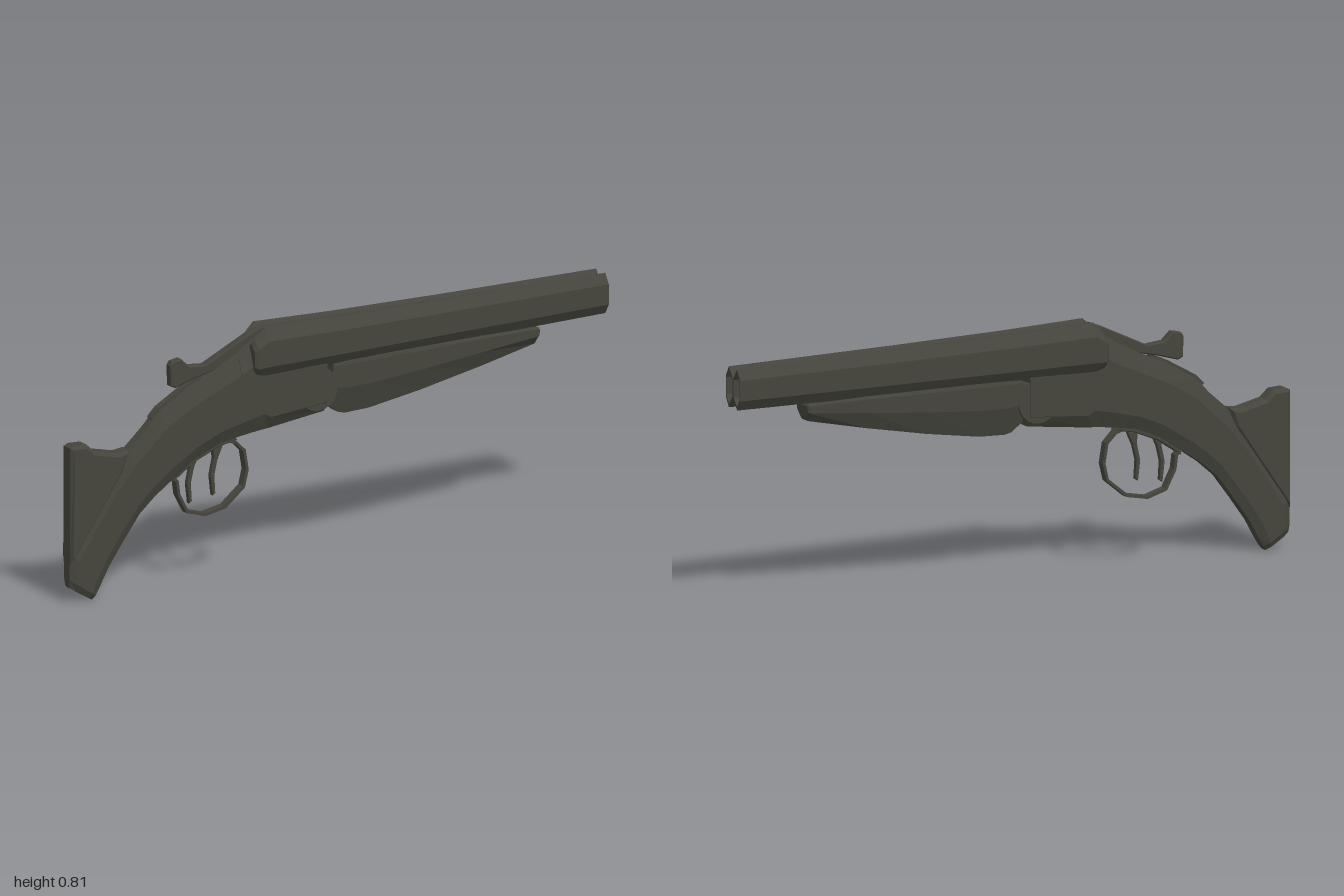
import * as THREE from 'three';

const metal = new THREE.MeshStandardMaterial({ color: 0x45453d });
metal.name = 'dark olive metal';

function add(group, name, geo) {
  const mesh = new THREE.Mesh(geo, metal);
  mesh.name = name;
  group.add(mesh);
  return mesh;
}

// Faceted skin over a row of equal rings, capped at both ends and turned outwards.
function loft(rings) {
  const n = rings[0].length;
  const tris = [];
  for (let i = 0; i + 1 < rings.length; i++) {
    const a = rings[i], b = rings[i + 1];
    for (let j = 0; j < n; j++) {
      const k = (j + 1) % n;
      tris.push([a[j], a[k], b[k]], [a[j], b[k], b[j]]);
    }
  }
  const first = rings[0], last = rings[rings.length - 1];
  for (let j = 1; j + 1 < n; j++) {
    tris.push([first[0], first[j + 1], first[j]], [last[0], last[j], last[j + 1]]);
  }
  let volume = 0;
  const v = [new THREE.Vector3(), new THREE.Vector3(), new THREE.Vector3()];
  for (const t of tris) {
    t.forEach((p, i) => v[i].set(...p));
    volume += v[0].dot(v[1].cross(v[2]));
  }
  if (volume < 0) tris.forEach((t) => t.reverse());
  const geo = new THREE.BufferGeometry();
  geo.setAttribute('position', new THREE.Float32BufferAttribute(tris.flat(2), 3));
  geo.computeVertexNormals();
  return geo;
}

// Chamfered eight-sided section from a top point to a bottom point in the side plane.
function section([tx, ty, bx, by, w, tw = 0.016, bw = 0.02, c1 = 0.25, c2 = 0.82]) {
  const half = [[0, tw], [c1, w], [c2, w], [1, bw]].map(([t, z]) =>
    [tx + (bx - tx) * t, ty + (by - ty) * t, z]);
  return [...half, ...half.slice().reverse().map(([x, y, z]) => [x, y, -z])];
}

// Flat strip with rectangular section that follows a path in the side plane.
function strip(points, thick, halfWidth) {
  return loft(points.map(([x, y], i) => {
    const p = points[Math.max(i - 1, 0)], q = points[Math.min(i + 1, points.length - 1)];
    const len = Math.hypot(q[0] - p[0], q[1] - p[1]);
    const nx = -(q[1] - p[1]) / len * thick / 2, ny = (q[0] - p[0]) / len * thick / 2;
    return [[x + nx, y + ny, halfWidth], [x + nx, y + ny, -halfWidth],
      [x - nx, y - ny, -halfWidth], [x - nx, y - ny, halfWidth]];
  }));
}

// Side outline extruded across z, with chamfered rims.
function plate(points, halfWidth, bevel) {
  const shape = new THREE.Shape(points.map(([x, y]) => new THREE.Vector2(x, y)));
  const geo = new THREE.ExtrudeGeometry(shape, {
    depth: 2 * (halfWidth - bevel), bevelEnabled: true, bevelSegments: 1,
    bevelThickness: bevel, bevelSize: bevel, bevelOffset: -bevel,
  });
  return geo.translate(0, 0, bevel - halfWidth);
}

// Tall hexagonal barrel section; k shrinks it about its middle.
function barrelRing(x, top, bottom, outer, side, k = 1) {
  const cy = (top + bottom) / 2, hy = (top - bottom) / 2 * k;
  const cz = (outer + 0.002) / 2, hz = (outer - 0.002) / 2 * k;
  return [[1, 0.1], [0.5, 1], [-0.5, 1], [-1, 0.1], [-0.5, -1], [0.5, -1]].map(([v, u]) =>
    [x, cy + v * hy, side * (cz + u * hz)]);
}

export function createModel() {
  const gun = new THREE.Group();
  gun.name = 'doubleBarrelShotgun';

  // Curved stock
  add(gun, 'stock', loft([
    [-0.37, 0.745, -0.37, 0.466, 0.041],
    [-0.47, 0.695, -0.44, 0.455, 0.04],
    [-0.56, 0.655, -0.53, 0.418, 0.038],
    [-0.66, 0.597, -0.635, 0.35, 0.036],
    [-0.71, 0.545, -0.685, 0.315, 0.035],
    [-0.775, 0.487, -0.74, 0.267, 0.034],
    [-0.85, 0.4, -0.8, 0.187, 0.033],
    [-0.93, 0.285, -0.855, 0.11, 0.033],
    [-1, 0.18, -0.888, 0.05, 0.033],
    [-1, 0.085, -0.905, 0.022, 0.032],
    [-0.998, 0.06, -0.914, 0.008, 0.022, 0.012, 0.012],
  ].map(section)));

  // Spur at the back of the stock
  add(gun, 'stockSpur', plate([[-1, 0.525], [-0.985, 0.532], [-0.94, 0.53], [-0.91, 0.503],
    [-0.82, 0.482], [-0.78, 0.487], [-0.8, 0.42], [-0.93, 0.23], [-1, 0.14]], 0.031, 0.012));

  // Receiver with rising breech face
  add(gun, 'receiver', loft([
    [-0.37, 0.748, -0.37, 0.466, 0.043],
    [-0.325, 0.775, -0.325, 0.472, 0.043],
    [-0.285, 0.8, -0.285, 0.476, 0.043],
    [-0.26, 0.69, -0.26, 0.478, 0.043, 0.04, 0.02, 0.1, 0.8],
    [-0.05, 0.68, -0.05, 0.503, 0.043, 0.04, 0.02, 0.1, 0.8],
  ].map(section)));

  // Hinge knuckle and side pins
  const knuckle = add(gun, 'hingeKnuckle', new THREE.CylinderGeometry(0.072, 0.072, 0.084, 20));
  knuckle.rotation.x = Math.PI / 2;
  knuckle.position.set(-0.082, 0.585, 0);
  for (const side of [1, -1]) {
    for (const [x, y] of [[-0.27, 0.54], [-0.35, 0.55], [-0.14, 0.55]]) {
      const pin = add(gun, 'sidePin', new THREE.CylinderGeometry(0.007, 0.007, 0.004, 8));
      pin.rotation.x = Math.PI / 2;
      pin.position.set(x, y, side * 0.043);
    }
  }

  // Two hexagonal barrels with open bores
  for (const side of [1, -1]) {
    add(gun, side > 0 ? 'leftBarrel' : 'rightBarrel', loft([
      barrelRing(-0.328, 0.77, 0.675, 0.054, side),
      barrelRing(-0.318, 0.787, 0.66, 0.06, side),
      barrelRing(-0.28, 0.822, 0.652, 0.065, side),
      barrelRing(0, 0.813, 0.655, 0.06, side),
      barrelRing(0.4, 0.806, 0.66, 0.055, side),
      barrelRing(1, 0.8, 0.666, 0.049, side),
      barrelRing(1, 0.8, 0.666, 0.049, side, 0.84),
      barrelRing(-0.2, 0.8, 0.666, 0.049, side, 0.84),
    ]));
  }

  // Sighting rib between the barrels
  add(gun, 'rib', loft([[-0.3, 0.808, 0.014], [-0.27, 0.812, 0.014], [0.985, 0.787, 0.009]]
    .map(([x, y, w]) => [[x, y, w], [x, y, -w], [x, 0.7, -0.003], [x, 0.7, 0.003]])));

  // Tapered fore-end
  add(gun, 'foreEnd', loft([
    [-0.025, 0.665, -0.035, 0.52, 0.04],
    [-0.005, 0.665, 0.005, 0.49, 0.041],
    [0.02, 0.665, 0.03, 0.484, 0.042],
    [0.12, 0.665, 0.12, 0.487, 0.042],
    [0.31, 0.665, 0.31, 0.516, 0.042],
    [0.53, 0.665, 0.53, 0.558, 0.041],
    [0.745, 0.66, 0.74, 0.603, 0.04],
    [0.75, 0.655, 0.748, 0.615, 0.036],
  ].map((s) => section([...s, s[4] - 0.004, 0.019, 0.08, 0.5]))));

  // Opening lever and tang on top
  add(gun, 'topLever', plate([[-0.62, 0.738], [-0.612, 0.75], [-0.58, 0.756], [-0.55, 0.728],
    [-0.49, 0.722], [-0.33, 0.798], [-0.285, 0.815], [-0.285, 0.75], [-0.4, 0.71],
    [-0.52, 0.685], [-0.6, 0.662], [-0.618, 0.67]], 0.015, 0.004));
  add(gun, 'tang', strip([[-0.5, 0.686], [-0.56, 0.659], [-0.66, 0.602], [-0.69, 0.572]], 0.012, 0.011));

  // Trigger guard and twin triggers
  add(gun, 'triggerGuard', strip([[-0.66, 0.362], [-0.61, 0.366], [-0.594, 0.35], [-0.588, 0.305],
    [-0.556, 0.244], [-0.49, 0.224], [-0.415, 0.238], [-0.345, 0.295], [-0.332, 0.35],
    [-0.343, 0.415], [-0.375, 0.447], [-0.42, 0.46]], 0.01, 0.014));
  for (const x of [0, 0.088]) {
    const trigger = add(gun, 'trigger', plate([[-0.545, 0.43], [-0.508, 0.43], [-0.528, 0.385],
      [-0.54, 0.335], [-0.536, 0.275], [-0.546, 0.268], [-0.554, 0.335], [-0.542, 0.39]], 0.009, 0.002));
    trigger.position.set(x, x * 0.15, 0);
  }
  add(gun, 'triggerPlate', plate([[-0.6, 0.4], [-0.39, 0.48], [-0.37, 0.455], [-0.44, 0.442],
    [-0.53, 0.405], [-0.61, 0.352]], 0.016, 0.003));

  return gun;
}
